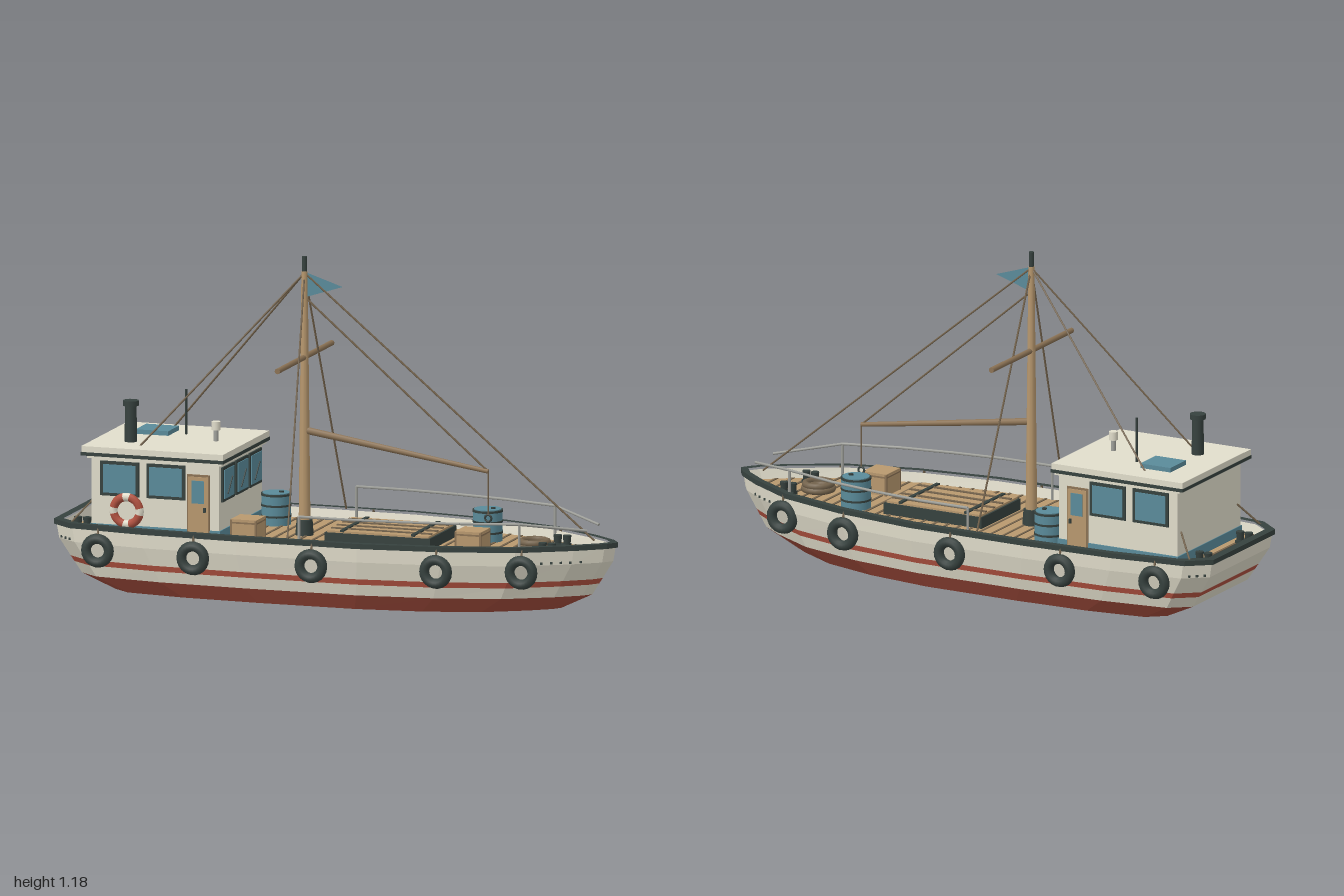
import * as THREE from 'three';

const mat = (name, color, opts = {}) => {
  const m = new THREE.MeshStandardMaterial({ color, ...opts });
  m.name = name;
  return m;
};

export function createModel() {
  const cream = mat('cream paint', 0xe1ddcb);
  const red = mat('bottom red', 0xa24c3c);
  const stripe = mat('stripe red', 0xb0513f);
  const dark = mat('black rubber', 0x36413e);
  const teal = mat('teal', 0x5a8b9a, { side: THREE.DoubleSide });
  const wood = mat('wood', 0xb8986e);
  const brown = mat('dark wood', 0x8c7355);
  const grey = mat('grey metal', 0xa0a19b);
  const rope = mat('rope', 0x75644d);

  const boat = new THREE.Group();
  boat.name = 'fishingBoat';
  const add = (name, geo, m, x = 0, y = 0, z = 0) => {
    const mesh = new THREE.Mesh(geo, m);
    mesh.name = name;
    mesh.position.set(x, y, z);
    boat.add(mesh);
    return mesh;
  };
  const box = (name, m, w, h, d, x, y, z) => add(name, new THREE.BoxGeometry(w, h, d), m, x, y, z);
  const cyl = (name, m, r1, r2, h, x, y, z, n = 14) =>
    add(name, new THREE.CylinderGeometry(r1, r2, h, n), m, x, y + h / 2, z);
  const rod = (name, m, a, b, r, r2 = r, n = 6) => {
    const p = new THREE.Vector3(...a), q = new THREE.Vector3(...b), d = q.clone().sub(p);
    const mesh = add(name, new THREE.CylinderGeometry(r2, r, d.length(), n), m);
    mesh.position.copy(p.add(q).multiplyScalar(0.5));
    mesh.quaternion.setFromUnitVectors(new THREE.Vector3(0, 1, 0), d.normalize());
  };

  // Plan outline of the hull: half widths from stern to bow
  const half = [[-1, 0.22], [-0.92, 0.285], [-0.65, 0.32], [-0.3, 0.332], [0.15, 0.328],
    [0.45, 0.288], [0.7, 0.217], [0.88, 0.11], [0.97, 0.04], [0.998, 0]];
  const outline = half.concat(half.slice(0, -1).reverse().map(([x, z]) => [x, -z]));
  const halfWidth = (x) => {
    for (let i = 1; i < half.length; i++) {
      const [x0, z0] = half[i - 1], [x1, z1] = half[i];
      if (x <= x1) return z0 + (z1 - z0) * (x - x0) / (x1 - x0);
    }
    return 0;
  };
  const ring = ([y, sx, sz]) => outline.map(([x, z]) => [x * sx, y, z * sz]);
  const loft = (levels) => {
    const pos = [], rings = levels.map(ring), n = outline.length;
    for (let k = 0; k + 1 < rings.length; k++) {
      for (let i = 0; i < n; i++) {
        const j = (i + 1) % n, a = rings[k][i], b = rings[k][j], c = rings[k + 1][j], d = rings[k + 1][i];
        pos.push(...a, ...b, ...c, ...a, ...c, ...d);
      }
    }
    const g = new THREE.BufferGeometry();
    g.setAttribute('position', new THREE.Float32BufferAttribute(pos, 3));
    g.computeVertexNormals();
    return g;
  };
  const plan = (sx, sz) => outline.map(([x, z]) => new THREE.Vector2(x * sx, z * sz));

  // Hull bands
  const L = [[0, 0.79, 0.78], [0.055, 0.905, 0.885], [0.095, 0.93, 0.918], [0.115, 0.943, 0.933],
    [0.177, 0.982, 0.974], [0.235, 0.992, 0.982]];
  add('hullBottomPaint', loft([L[0], L[1]]), red);
  add('hullLowerBand', loft([L[1], L[2]]), cream);
  add('hullStripe', loft([L[2], L[3]]), stripe);
  add('hullTopsides', loft([L[3], L[4], L[5]]), cream);
  add('bulwarkInside', loft([[0.235, 0.975, 0.935], [0.197, 0.964, 0.912]]), cream);
  add('keelPlate', new THREE.ShapeGeometry(new THREE.Shape(plan(0.79, 0.78))).rotateX(Math.PI / 2), dark);
  const rimShape = new THREE.Shape(plan(1, 1));
  rimShape.holes.push(new THREE.Path(plan(0.97, 0.925)));
  add('gunwale', new THREE.ExtrudeGeometry(rimShape, { depth: 0.018, bevelEnabled: false }).rotateX(-Math.PI / 2),
    dark, 0, 0.226, 0);

  // Deck with plank seams
  const D = 0.2;
  add('deck', new THREE.ShapeGeometry(new THREE.Shape(plan(0.972, 0.93))).rotateX(-Math.PI / 2), wood, 0, D, 0);
  for (let x = -0.94; x < 0.93; x += 0.047) {
    box('deckSeam', rope, 0.009, 0.003, halfWidth(x / 0.97) * 1.82, x, D + 0.001, 0);
  }

  // Cabin with a layered roof
  const cx = -0.625, wx = 0.47, wz = 0.45;
  box('cabinWalls', cream, wx, 0.285, wz, cx, 0.3325, 0);
  box('cabinBaseBand', teal, wx + 0.008, 0.035, wz + 0.008, cx, 0.22, 0);
  box('roofEave', cream, 0.495, 0.01, 0.47, cx, 0.473, 0);
  box('roofTrim', dark, 0.524, 0.012, 0.494, cx - 0.005, 0.484, 0);
  box('roof', cream, 0.52, 0.021, 0.49, cx - 0.005, 0.5005, 0);
  for (const s of [1, -1]) {
    const z = s * wz / 2;
    for (const x of [-0.755, -0.585]) {
      box('windowFrame', dark, 0.142, 0.122, 0.012, x, 0.4, z);
      box('windowGlass', teal, 0.12, 0.1, 0.018, x, 0.4, z);
    }
    box('doorFrame', brown, 0.083, 0.235, 0.01, -0.465, 0.315, z);
    box('door', wood, 0.072, 0.222, 0.018, -0.465, 0.314, z);
    box('doorWindow', teal, 0.046, 0.08, 0.024, -0.465, 0.372, z);
    box('doorHandle', dark, 0.008, 0.016, 0.03, -0.44, 0.31, z);
  }
  for (const z of [-0.143, 0, 0.143]) {
    box('windscreenFrame', dark, 0.014, 0.122, 0.124, -0.39, 0.397, z);
    box('windscreenGlass', teal, 0.02, 0.102, 0.104, -0.39, 0.397, z);
    rod('wiper', dark, [-0.378, 0.36, z + 0.025], [-0.378, 0.415, z - 0.025], 0.0025);
  }

  // Life ring with pale bands
  for (let i = 0; i < 4; i++) {
    const arc = (len, start) => new THREE.TorusGeometry(0.048, 0.015, 8, 8, len).rotateZ(start + i * Math.PI / 2);
    add('lifeRing', arc(1.12, 0.22), stripe, -0.725, 0.292, 0.24);
    add('lifeRingBand', arc(0.46, -0.235), cream, -0.725, 0.292, 0.24);
  }

  // Roof fittings
  cyl('funnel', dark, 0.02, 0.022, 0.14, -0.757, 0.51, 0.105);
  cyl('funnelCap', dark, 0.028, 0.028, 0.018, -0.757, 0.638, 0.105);
  box('roofHatch', teal, 0.12, 0.018, 0.112, -0.728, 0.518, -0.09);
  rod('antenna', dark, [-0.62, 0.51, -0.085], [-0.62, 0.67, -0.085], 0.004);
  cyl('lampPost', grey, 0.009, 0.009, 0.04, -0.48, 0.51, 0);
  cyl('lamp', cream, 0.016, 0.016, 0.03, -0.48, 0.55, 0);

  // Mast, yard, boom and flag
  const mx = -0.155;
  cyl('mastCollar', dark, 0.028, 0.032, 0.055, mx, D, 0);
  cyl('mast', wood, 0.011, 0.021, 0.93, mx, D, 0, 10);
  cyl('mastCap', dark, 0.009, 0.009, 0.055, mx, 1.128, 0, 10);
  rod('yard', brown, [mx, 0.827, -0.287], [mx, 0.827, 0.287], 0.01, 0.01, 8);
  rod('boom', brown, [mx, 0.57, 0], [0.52, 0.465, 0], 0.013, 0.008, 8);
  const flag = new THREE.Shape([[0, 0.042], [0, -0.042], [0.13, 0]].map((p) => new THREE.Vector2(...p)));
  add('flag', new THREE.ShapeGeometry(flag), teal, mx + 0.01, 1.083, 0);

  // Rigging
  const top = [mx, 1.125, 0], t = 0.0035;
  rod('forestay', rope, top, [0.91, 0.245, 0], t);
  rod('boomTopLift', rope, [mx, 1.04, 0], [0.52, 0.465, 0], t);
  rod('hookLine', rope, [0.52, 0.465, 0], [0.52, 0.31, 0], 0.003);
  add('hook', new THREE.TorusGeometry(0.012, 0.004, 6, 10), dark, 0.52, 0.3, 0);
  for (const s of [1, -1]) {
    rod('backstay', rope, top, [-0.7, 0.51, s * 0.17], t);
    rod('shroud', rope, top, [-0.11, 0.24, s * 0.31], t);
    rod('sternBrace', rope, [-0.86, 0.32, s * 0.2], [-0.925, 0.24, s * 0.255], t);
  }

  // Cargo hatch
  box('hatchCoaming', dark, 0.388, 0.04, 0.278, 0.16, D + 0.02, 0);
  box('hatchCover', wood, 0.374, 0.012, 0.264, 0.16, D + 0.041, 0);
  for (const x of [0.03, 0.29]) box('hatchBar', dark, 0.014, 0.008, 0.27, x, 0.248, 0);
  for (const z of [-0.09, -0.03, 0.03, 0.09]) box('hatchBatten', rope, 0.37, 0.006, 0.012, 0.16, 0.248, z);

  // Barrels and crates
  for (const [x, z] of [[-0.315, -0.16], [0.48, -0.11]]) {
    cyl('barrel', teal, 0.052, 0.052, 0.106, x, D, z, 18);
    for (const y of [0.028, 0.066, 0.103]) cyl('barrelHoop', dark, 0.054, 0.054, 0.007, x, D + y, z, 18);
    cyl('barrelLid', teal, 0.048, 0.048, 0.006, x, D + 0.107, z, 18);
    cyl('barrelBung', dark, 0.009, 0.009, 0.006, x + 0.02, D + 0.112, z, 8);
  }
  for (const [x, z] of [[-0.31, 0.15], [0.5, 0.107]]) {
    box('crate', wood, 0.094, 0.078, 0.1, x, D + 0.039, z);
    box('crateBand', brown, 0.097, 0.006, 0.103, x, D + 0.066, z);
    for (const a of [-1, 1]) {
      for (const b of [-1, 1]) box('crateCorner', brown, 0.007, 0.076, 0.007, x + a * 0.045, D + 0.038, z + b * 0.048);
    }
  }

  // Rope coil and mooring bitts
  for (const [r, y] of [[0.05, 0.012], [0.036, 0.014], [0.046, 0.028]]) {
    add('ropeCoil', new THREE.TorusGeometry(r, 0.012, 8, 20).rotateX(Math.PI / 2), rope, 0.69, D + y, 0);
  }
  for (const [x, z] of [[0.765, 0.08], [-0.92, 0.145]]) {
    for (const s of [1, -1]) {
      box('bittBase', dark, 0.055, 0.012, 0.034, x, D + 0.006, s * z);
      for (const a of [-1, 1]) cyl('bittPost', dark, 0.015, 0.011, 0.042, x + a * 0.017, D, s * z, 10);
    }
  }

  for (const s of [1, -1]) {
    // Guard rail along the forward bulwark
    const rail = [-0.07, 0.12, 0.31, 0.5, 0.7, 0.905].map((x) =>
      [x, x > 0.8 ? 0.29 : 0.322, s * Math.max(0.05, halfWidth(x) - 0.028)]);
    for (let i = 0; i + 1 < rail.length; i++) rod('guardRail', grey, rail[i], rail[i + 1], 0.005);
    for (const i of [0, 4]) rod('railPost', grey, [rail[i][0], D, rail[i][2]], rail[i], 0.005);

    // Tyre fenders hung from the gunwale
    for (const x of [-0.81, -0.45, -0.015, 0.43, 0.715]) {
      const z = s * (halfWidth(x) + 0.005);
      add('tyreFender', new THREE.TorusGeometry(0.042, 0.018, 10, 22), dark, x, 0.157, z);
      rod('fenderRope', rope, [x, 0.2, z], [x, 0.24, z - s * 0.01], 0.004);
    }

    // Small drain holes at bow and stern
    for (const x of [0.785, 0.815, 0.845, 0.875, 0.905, -0.985, -0.963, -0.941]) {
      box('drainHole', dark, 0.007, 0.008, 0.006, x * 0.984, 0.184, s * halfWidth(x) * 0.976);
    }
  }
  return boat;
}
